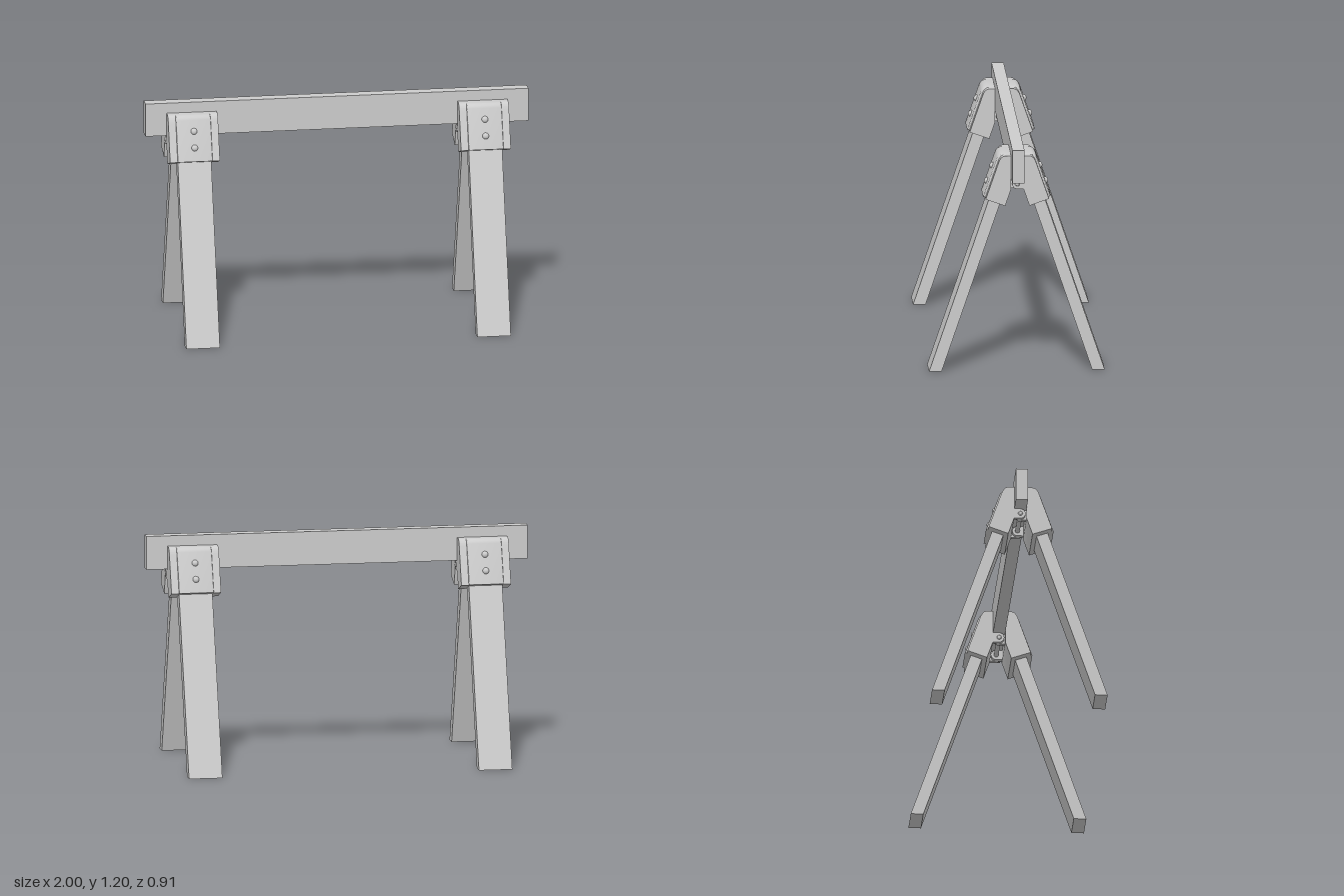
import * as THREE from 'three';
import { toCreasedNormals } from 'three/addons/utils/BufferGeometryUtils.js';

const grey = new THREE.MeshStandardMaterial({ color: 0xcccccc });
const TILT = 0.345; // outward lean of the bracket face

function mesh(name, geometry, x = 0, y = 0, z = 0) {
  const m = new THREE.Mesh(geometry, grey);
  m.name = name;
  m.position.set(x, y, z);
  return m;
}

// Extrudes a side profile drawn in (z, y) across the given width in x
function sideExtrude(shape, width, bevel = 0) {
  const g = new THREE.ExtrudeGeometry(shape, {
    depth: width - 2 * bevel, curveSegments: 10, bevelEnabled: bevel > 0,
    bevelSize: bevel, bevelThickness: bevel, bevelOffset: -bevel, bevelSegments: 3,
  });
  g.translate(0, 0, bevel - width / 2);
  g.rotateY(-Math.PI / 2);
  return toCreasedNormals(g, 0.6);
}

const polygon = (points) => new THREE.Shape(points.map(([z, y]) => new THREE.Vector2(z, y)));

// Bracket body, with a rounded shoulder
function bodyShape() {
  const s = new THREE.Shape();
  s.moveTo(0.032, 0.975);
  s.lineTo(0.063, 0.885);
  s.lineTo(0.164, 0.921);
  s.lineTo(0.097, 1.115);
  s.quadraticCurveTo(0.085, 1.15, 0.06, 1.15);
  s.lineTo(0.032, 1.15);
  s.closePath();
  return s;
}

// Raised panel on the outer face
function panelShape() {
  const s = new THREE.Shape();
  s.moveTo(0.1, 0.898);
  s.lineTo(0.175, 0.925);
  s.lineTo(0.106, 1.122);
  s.quadraticCurveTo(0.096, 1.151, 0.07, 1.151);
  s.lineTo(0.04, 1.151);
  s.closePath();
  return s;
}

// Rounded hinge ear around the pivot
function earShape() {
  const s = new THREE.Shape();
  s.moveTo(0.045, 0.975);
  s.lineTo(0.045, 1.028);
  s.lineTo(0, 1.028);
  s.absarc(0, 1.0015, 0.0265, Math.PI / 2, Math.PI * 1.5, false);
  s.closePath();
  return s;
}

// One leg with its bracket; earX is the distance of the hinge ears from the middle
function makeSide(name, earX) {
  const side = new THREE.Group();
  side.name = name;

  const leg = polygon([[0.39, 0], [0.455, 0], [0.115, 1], [0.05, 1]]);
  side.add(mesh('leg', sideExtrude(leg, 0.175)));
  side.add(mesh('bracketBody', sideExtrude(bodyShape(), 0.26)));
  side.add(mesh('bracketPanel', sideExtrude(panelShape(), 0.182, 0.007)));

  for (const s of [-1, 1]) side.add(mesh('hingeEar', sideExtrude(earShape(), 0.022), s * earX));

  // Domed bolt heads
  for (const [y, z] of [[1.073, 0.122], [0.992, 0.151]]) {
    const dome = new THREE.SphereGeometry(0.017, 20, 8, 0, Math.PI * 2, 0, Math.PI / 2);
    dome.scale(1, 0.85, 1);
    dome.rotateX(Math.PI / 2 - TILT);
    side.add(mesh('boltHead', dome, 0, y, z));
  }
  return side;
}

function makeTrestle(name) {
  const trestle = new THREE.Group();
  trestle.name = name;
  const front = makeSide('frontSide', 0.097);
  const back = makeSide('backSide', 0.119);
  back.rotation.y = Math.PI;
  trestle.add(front, back);

  // Pivot pin with slightly domed ends
  const profile = [[0, -0.138], [0.008, -0.136], [0.012, -0.131], [0.012, 0.131], [0.008, 0.136], [0, 0.138]]
    .map(([r, h]) => new THREE.Vector2(r, h));
  const pin = new THREE.LatheGeometry(profile, 20);
  pin.rotateZ(Math.PI / 2);
  trestle.add(mesh('pivotPin', toCreasedNormals(pin, 0.7), 0, 1.0015, 0));
  return trestle;
}

export function createModel() {
  const model = new THREE.Group();
  model.name = 'sawhorse';
  model.add(mesh('beam', new THREE.BoxGeometry(2, 0.175, 0.063), 0, 1.1165, 0));
  for (const s of [-1, 1]) {
    const trestle = makeTrestle(s > 0 ? 'leftTrestle' : 'rightTrestle');
    trestle.position.x = s * 0.76;
    model.add(trestle);
  }
  return model;
}
